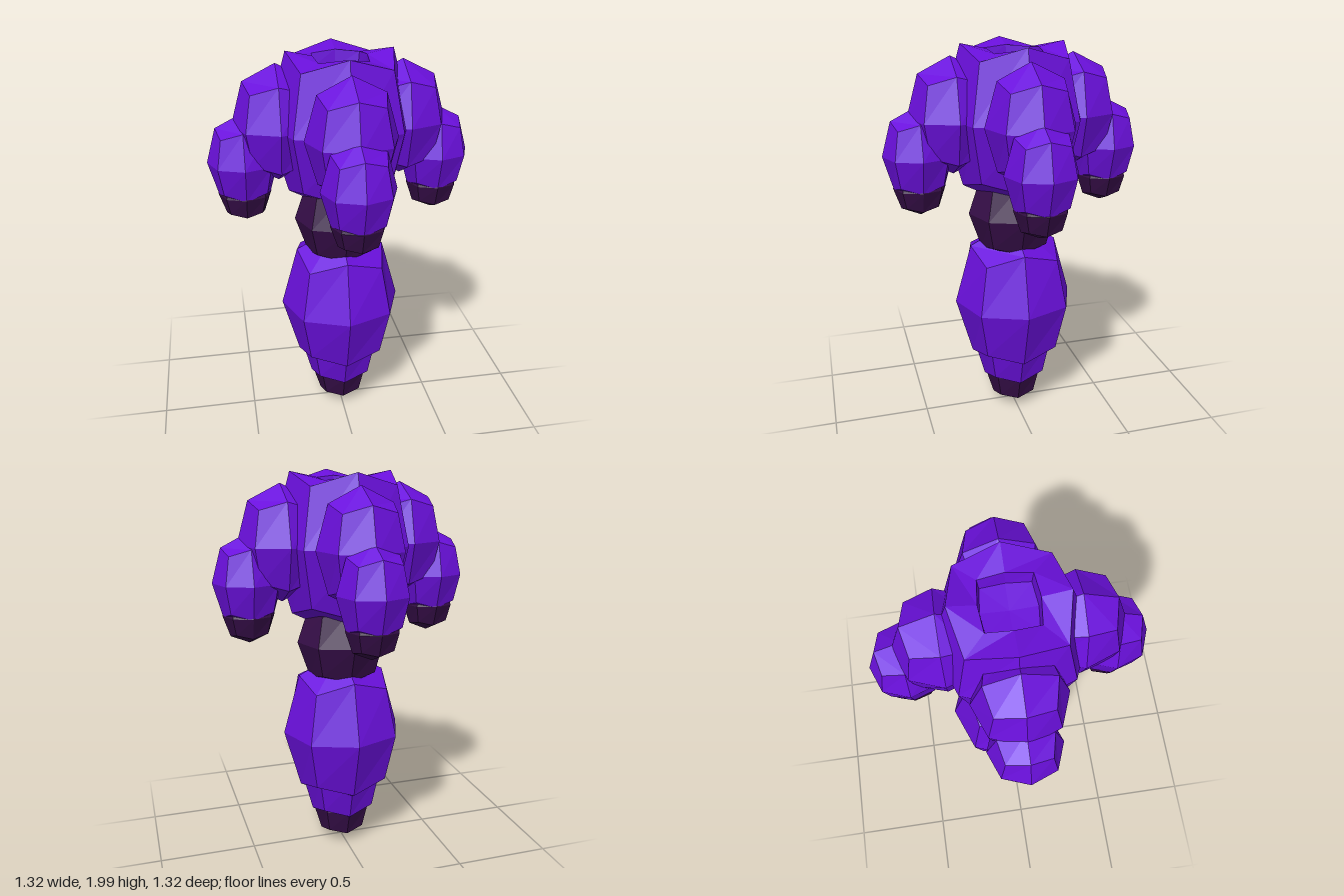
import * as THREE from 'three';

const purple = new THREE.MeshStandardMaterial({ color: 0x6a10dc, flatShading: true });
const dark = new THREE.MeshStandardMaterial({ color: 0x360e48, flatShading: true });

// Once-subdivided cube, rounded: face centres stay out, edges and corners pull in
function pebbleGeometry(r, h) {
  const geo = new THREE.BoxGeometry(2, 2, 2, 2, 2, 2);
  const p = geo.attributes.position;
  for (let i = 0; i < p.count; i++) {
    const v = [p.getX(i), p.getY(i), p.getZ(i)].map(Math.round);
    const k = [0, 1, 0.726, 0.596][v.filter((c) => c !== 0).length];
    p.setXYZ(i, v[0] * k * r, v[1] * k * h, v[2] * k * r);
  }
  geo.computeVertexNormals();
  return geo;
}

function pebble(name, material, r, h, y, z = 0) {
  const mesh = new THREE.Mesh(pebbleGeometry(r, h), material);
  mesh.name = name;
  mesh.position.set(0, y, z);
  return mesh;
}

// Top of the head: eight-sided rings lofted inwards and down into a shallow socket
function socketGeometry(rings) {
  const pos = [], index = [];
  for (const [side, sideY, corner, cornerY] of rings) {
    for (let i = 0; i < 8; i++) {
      const a = (i * Math.PI) / 4;
      const odd = i % 2;
      const r = odd ? corner * Math.SQRT2 : side;
      pos.push(r * Math.sin(a), odd ? cornerY : sideY, r * Math.cos(a));
    }
  }
  for (let k = 0; k < rings.length - 1; k++) {
    for (let i = 0; i < 8; i++) {
      const a = k * 8 + i, b = k * 8 + ((i + 1) % 8);
      index.push(a, b, b + 8, a, b + 8, a + 8);
    }
  }
  const geo = new THREE.BufferGeometry();
  geo.setAttribute('position', new THREE.Float32BufferAttribute(pos, 3));
  geo.setIndex(index);
  geo.computeVertexNormals();
  return geo;
}

function createHead() {
  const head = new THREE.Group();
  head.name = 'head';
  const r = 0.36, h = 0.482, y = 1.65;
  const shell = pebble('headShell', purple, r, h, y);
  // leave the top side (the third of six) open for the socket
  const idx = Array.from(shell.geometry.index.array);
  idx.splice(48, 24);
  shell.geometry.setIndex(idx);
  shell.geometry.clearGroups();
  const top = new THREE.Mesh(socketGeometry([
    [0.726 * r, y + 0.726 * h, 0.596 * r, y + 0.596 * h],
    [0.132, 1.972, 0.12, 1.96],
    [0.125, 1.89, 0.113, 1.895],
    [0, 1.88, 0, 1.88],
  ]), purple);
  top.name = 'headSocket';
  head.add(shell, top);
  return head;
}

function createArm() {
  const arm = new THREE.Group();
  arm.name = 'arm';
  arm.add(
    pebble('shoulder', purple, 0.22, 0.29, 1.655, 0.31),
    pebble('forearm', purple, 0.176, 0.235, 1.475, 0.482),
    pebble('armTip', dark, 0.132, 0.146, 1.31, 0.482),
  );
  return arm;
}

export function createModel() {
  const model = new THREE.Group();
  model.name = 'figure';

  // Central column, bottom to top
  model.add(
    pebble('footTip', dark, 0.157, 0.2, 0.205),
    pebble('lowerLeg', purple, 0.225, 0.32, 0.42),
    pebble('body', purple, 0.316, 0.427, 0.655),
    pebble('neck', dark, 0.235, 0.26, 1.145),
    createHead(),
  );

  // Four arms, one on each side
  for (let i = 0; i < 4; i++) {
    const arm = createArm();
    arm.rotation.y = (i * Math.PI) / 2;
    model.add(arm);
  }
  return model;
}
